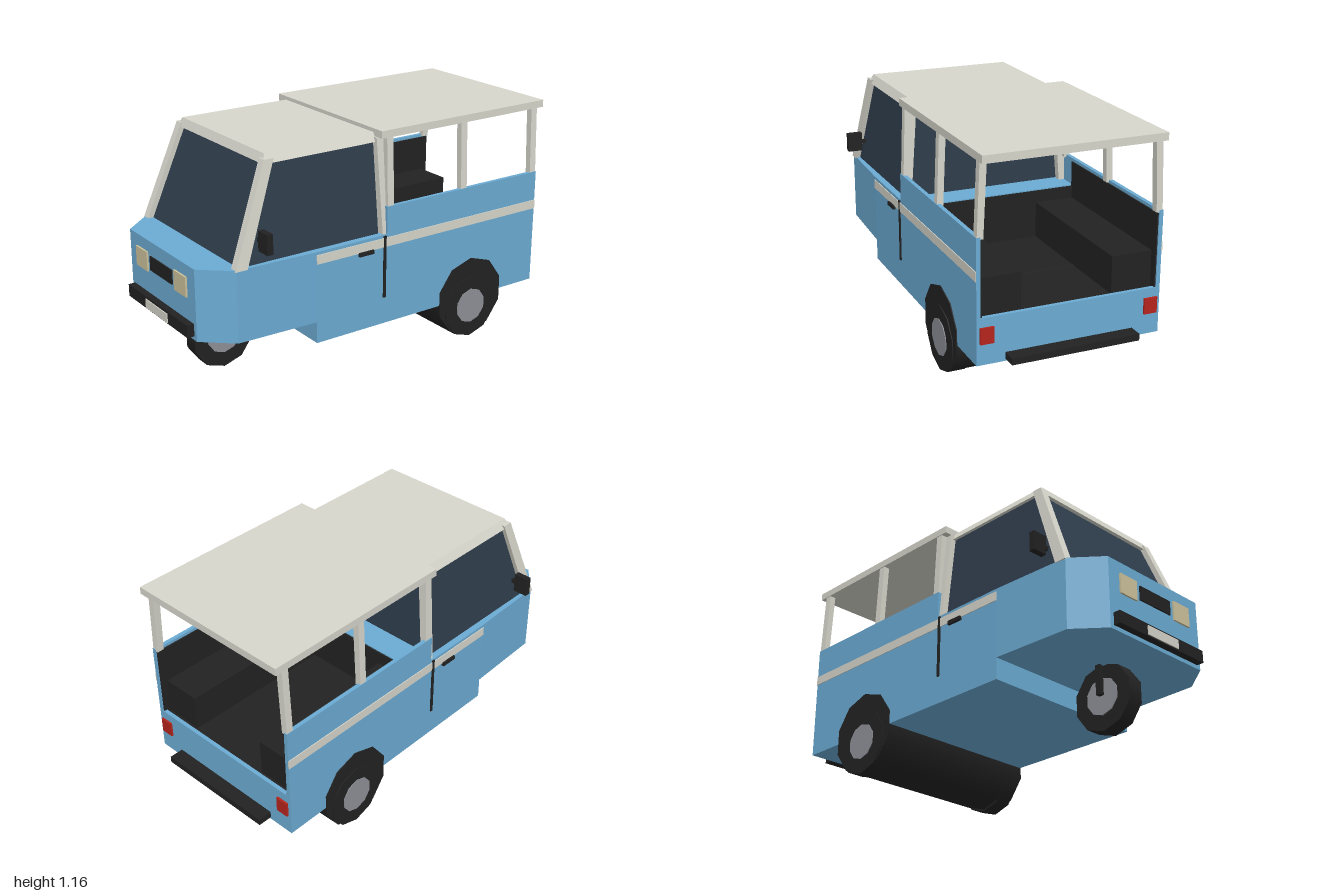
import * as THREE from 'three';

const mat = (name, color) => {
  const m = new THREE.MeshStandardMaterial({ color });
  m.name = name;
  return m;
};

export function createModel() {
  const blue = mat('bodyBlue', 0x6cabd3);
  const cream = mat('creamTrim', 0xd6d6cc);
  const dark = mat('blackRubber', 0x222222);
  const glass = mat('tintedGlass', 0x2f3e4c);
  const grey = mat('hubGrey', 0x8e9097);
  const lamp = mat('headlightGlass', 0xcdc39c);
  const red = mat('tailRed', 0xb5251c);

  const model = new THREE.Group();
  model.name = 'threeWheeler';
  const add = (name, geo, material) => {
    const mesh = new THREE.Mesh(geo, material);
    mesh.name = name;
    model.add(mesh);
    return mesh;
  };
  // Box given by its limits
  const box = (name, material, x0, x1, y0, y1, z0, z1) => {
    const mesh = add(name, new THREE.BoxGeometry(Math.abs(x1 - x0), y1 - y0, z1 - z0), material);
    mesh.position.set((x0 + x1) / 2, (y0 + y1) / 2, (z0 + z1) / 2);
    return mesh;
  };
  // Slanted block between two rectangles [xMin, xMax, zMin, zMax, y]
  const loft = (name, material, bottom, top) => {
    const geo = new THREE.BoxGeometry(1, 1, 1);
    const p = geo.attributes.position;
    for (let i = 0; i < p.count; i++) {
      const r = p.getY(i) > 0 ? top : bottom;
      p.setXYZ(i, r[p.getX(i) > 0 ? 1 : 0], r[4], r[p.getZ(i) > 0 ? 3 : 2]);
    }
    geo.computeVertexNormals();
    return add(name, geo, material);
  };
  const mirrorRect = (r, s) => (s > 0 ? r : [-r[1], -r[0], r[2], r[3], r[4]]);
  // Ten-sided cylinder lying across the vehicle, flat side down
  const roller = (name, material, radius, x0, x1, y, z) => {
    const geo = new THREE.CylinderGeometry(radius, radius, Math.abs(x1 - x0), 10);
    geo.rotateZ(Math.PI / 2);
    // Put corners at the front and rear
    geo.rotateX(Math.PI / 2);
    const mesh = add(name, geo, material);
    mesh.position.set((x0 + x1) / 2, y, z);
    return mesh;
  };

  // Cab lower body with chamfered nose
  const half = [[0.31, 0.96], [0.43, 0.82], [0.445, 0.41], [0.445, -0.1]];
  const outline = [...half, ...half.slice().reverse().map(([x, z]) => [-x, z])];
  const plan = new THREE.Shape(outline.map(([x, z]) => new THREE.Vector2(x, -z)));
  const cabGeo = new THREE.ExtrudeGeometry(plan, { depth: 0.345, bevelEnabled: false });
  cabGeo.rotateX(-Math.PI / 2);
  add('cabBody', cabGeo, blue).position.y = 0.305;

  // Chassis and open passenger box
  box('lowerBody', blue, -0.445, 0.445, 0.2, 0.4, -0.93, 0.41);
  box('rearSill', blue, -0.445, 0.445, 0.38, 0.42, -0.93, -0.91);
  box('passengerFloor', dark, -0.42, 0.42, 0.395, 0.406, -0.91, -0.1);
  box('bulkheadLining', dark, -0.42, 0.42, 0.4, 0.645, -0.108, -0.1);

  // Cab glass and roof
  loft('cabGlass', glass, [-0.412, 0.412, 0.04, 0.795, 0.65], [-0.37, 0.37, 0.045, 0.622, 1.095]);
  loft('cabRoof', cream, [-0.387, 0.387, 0, 0.645, 1.088], [-0.366, 0.366, 0, 0.628, 1.13]);

  // Passenger roof
  box('passengerRoof', cream, -0.432, 0.432, 1.112, 1.148, -0.965, 0.04);

  for (const s of [1, -1]) {
    // Passenger side walls, lining and benches
    box('sideWall', blue, s * 0.425, s * 0.445, 0.2, 0.785, -0.93, 0.012);
    box('wallLining', dark, s * 0.418, s * 0.425, 0.4, 0.77, -0.925, -0.1);
    box('bench', dark, s * 0.22, s * 0.42, 0.4, 0.585, -0.89, -0.1);

    // Windscreen and door pillars
    loft('windscreenPillar', cream,
      mirrorRect([0.393, 0.436, 0.765, 0.825, 0.645], s),
      mirrorRect([0.352, 0.392, 0.595, 0.645, 1.11], s));
    loft('doorPillar', cream,
      mirrorRect([0.396, 0.438, -0.005, 0.032, 0.645], s),
      mirrorRect([0.36, 0.398, 0, 0.045, 1.11], s));

    // Posts holding the passenger roof
    for (const z of [-0.01, -0.455, -0.91]) {
      loft('roofPost', cream,
        mirrorRect([0.412, 0.442, z - 0.018, z + 0.018, 0.775], s),
        mirrorRect([0.396, 0.428, z - 0.018, z + 0.018, 1.115], s));
    }

    // Side stripe, door gap, handle and mirror
    box('sideStripe', cream, s * 0.443, s * 0.449, 0.59, 0.635, -0.93, 0.41);
    box('doorGap', dark, s * 0.443, s * 0.451, 0.335, 0.645, 0.019, 0.033);
    box('doorHandle', dark, s * 0.443, s * 0.458, 0.575, 0.594, 0.095, 0.178);
    box('wingMirror', dark, s * 0.425, s * 0.5, 0.715, 0.81, 0.673, 0.703);
    box('mirrorArm', dark, s * 0.385, s * 0.43, 0.75, 0.77, 0.68, 0.695);

    // Lamps
    box('headlight', lamp, s * 0.13, s * 0.24, 0.495, 0.592, 0.955, 0.969);
    box('tailLight', red, s * 0.365, s * 0.43, 0.3, 0.376, -0.94, -0.925);

    // Rear wheels with hubs
    roller('rearWheel', dark, 0.163, s * 0.37, s * 0.455, 0.155, -0.515);
    roller('rearHub', grey, 0.09, s * 0.4, s * 0.459, 0.158, -0.515);

    // Front hub and fork
    roller('frontHub', grey, 0.09, s * 0.02, s * 0.046, 0.158, 0.673);
    box('frontFork', dark, s * 0.047, s * 0.07, 0.16, 0.31, 0.66, 0.686);
  }

  // Wheel housing across the rear, and the single front wheel
  roller('rearWheelHousing', dark, 0.205, -0.45, 0.45, 0.206, -0.515);
  roller('frontWheel', dark, 0.162, -0.041, 0.041, 0.155, 0.673);

  // Nose and tail fittings
  box('grille', dark, -0.105, 0.105, 0.51, 0.58, 0.955, 0.967);
  box('frontBumper', dark, -0.288, 0.288, 0.324, 0.384, 0.955, 0.995);
  box('frontPlate', cream, -0.105, 0.105, 0.33, 0.374, 0.993, 1);
  box('rearBumper', dark, -0.31, 0.31, 0.21, 0.242, -1, -0.925);

  return model;
}
